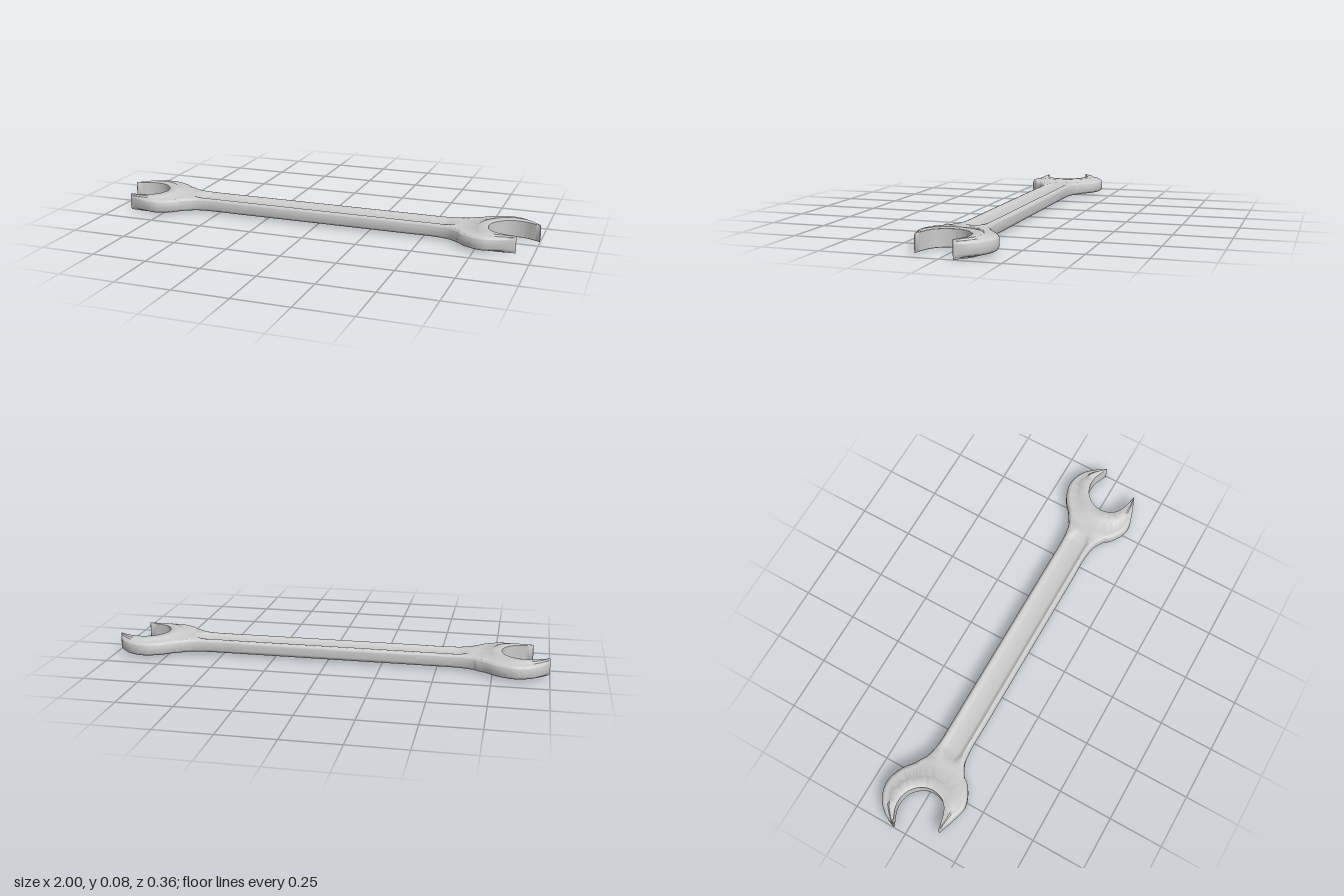
import * as THREE from 'three';
import { toCreasedNormals } from 'three/addons/utils/BufferGeometryUtils.js';

const MID = 0.039; // height of the middle plane

// Skin closed rings of [x, y, z] points and cap both ends
function loft(rings, flip = false) {
  const n = rings[0].length, last = (rings.length - 1) * n, index = [];
  const tri = (a, b, c) => (flip ? index.push(a, c, b) : index.push(a, b, c));
  for (let i = 0; i < rings.length - 1; i++) {
    for (let j = 0; j < n; j++) {
      const k = (j + 1) % n, a = i * n, b = a + n;
      tri(a + j, b + j, b + k);
      tri(a + j, b + k, a + k);
    }
  }
  for (let j = 1; j < n - 1; j++) {
    tri(0, j, j + 1);
    tri(last, last + j + 1, last + j);
  }
  const geo = new THREE.BufferGeometry();
  geo.setAttribute('position', new THREE.Float32BufferAttribute(rings.flat(2), 3));
  geo.setIndex(index);
  return toCreasedNormals(geo, 0.7);
}

// Mirror a half profile of [across, height] to the underside
const closeProfile = (half) => [...half, ...half.map(([d, h]) => [d, -h]).reverse()];

// Rounded shoulder: quarter ellipse from height lo to hi
function shoulder(lo, hi, r, steps = 5) {
  return Array.from({ length: steps + 1 }, (_, i) => {
    const a = (i / steps) * Math.PI / 2;
    return [r * (1 - Math.cos(a)), lo + (hi - lo) * Math.sin(a)];
  });
}

const spline = (pts) =>
  new THREE.CatmullRomCurve3(pts.map(([x, z]) => new THREE.Vector3(x, 0, z)), false, 'centripetal');

// Outer edge and jaw opening, paired from the long jaw tip round to the short one
const outer = spline([[1, -0.06], [0.975, -0.11], [0.925, -0.16], [0.85, -0.183], [0.77, -0.16],
  [0.71, -0.115], [0.665, -0.085], [0.66, 0], [0.665, 0.108], [0.705, 0.148], [0.775, 0.175],
  [0.85, 0.158], [0.925, 0.13]]);
const inner = spline([[0.997, -0.057], [0.96, -0.073], [0.93, -0.085], [0.885, -0.088], [0.845, -0.076],
  [0.815, -0.053], [0.795, -0.025], [0.785, 0.015], [0.79, 0.05], [0.8, 0.073], [0.825, 0.098],
  [0.865, 0.115], [0.923, 0.127]]);

// C-shaped head: rounded outside, raised land along the opening
function headGeometry(side) {
  const rings = [], steps = 84;
  for (let i = 0; i <= steps; i++) {
    const o = outer.getPoint(i / steps), q = inner.getPoint(i / steps);
    const w = o.distanceTo(q);
    const land = Math.min(0.045, 0.42 * w), step = Math.min(0.012, 0.12 * w);
    const half = [
      ...shoulder(0.012, 0.031, Math.min(0.022, 0.35 * w)),
      [w - land - step, 0.031],
      [w - land - step * 0.5, 0.0345],
      [w - land, 0.0385],
      [w - Math.min(0.003, 0.1 * w), 0.039],
      [w, 0.037],
    ];
    rings.push(closeProfile(half).map(([d, h]) => {
      const p = o.clone().lerp(q, d / w);
      return [side * p.x, MID + h, p.z];
    }));
  }
  return loft(rings, side < 0);
}

// Shank: recessed channel on both faces, flaring into the heads
function shankGeometry() {
  const end = [[0.4, -0.07, 0.066], [0.55, -0.07, 0.066], [0.61, -0.074, 0.076],
    [0.66, -0.086, 0.104], [0.71, -0.115, 0.15]];
  const rows = [...end.map(([x, b, f]) => [-x, b, f]).reverse(), [0, -0.07, 0.066], ...end];
  const edge = new THREE.CatmullRomCurve3(rows.map((r) => new THREE.Vector3(...r)), false, 'centripetal');
  const rings = [];
  for (let i = 0; i <= 120; i++) {
    const { x, y: back, z: front } = edge.getPoint(i / 120);
    const fade = 1 - THREE.MathUtils.smoothstep(Math.abs(x), 0.58, 0.655);
    const depth = 0.012 * fade, width = 0.03 + 0.02 * fade, top = 0.0305;
    const rim = shoulder(0.012, top, 0.014);
    const channel = [[1, 0], [0.9, 0.35], [0.78, 0.8], [0.6, 1]];
    const half = [
      ...rim.map(([d, h]) => [front - d, h]),
      ...channel.map(([s, k]) => [s * width, top - k * depth]),
      ...channel.map(([s, k]) => [-s * width, top - k * depth]).reverse(),
      ...rim.map(([d, h]) => [back + d, h]).reverse(),
    ];
    rings.push(closeProfile(half).map(([z, h]) => [x, MID + h, z]));
  }
  return loft(rings);
}

export function createModel() {
  const group = new THREE.Group();
  group.name = 'openEndedWrench';
  const material = new THREE.MeshStandardMaterial({ color: 0xcccccc });
  const add = (name, geometry) => {
    const mesh = new THREE.Mesh(geometry, material);
    mesh.name = name;
    group.add(mesh);
  };
  add('shank', shankGeometry());
  add('leftHead', headGeometry(1));
  add('rightHead', headGeometry(-1));
  return group;
}
